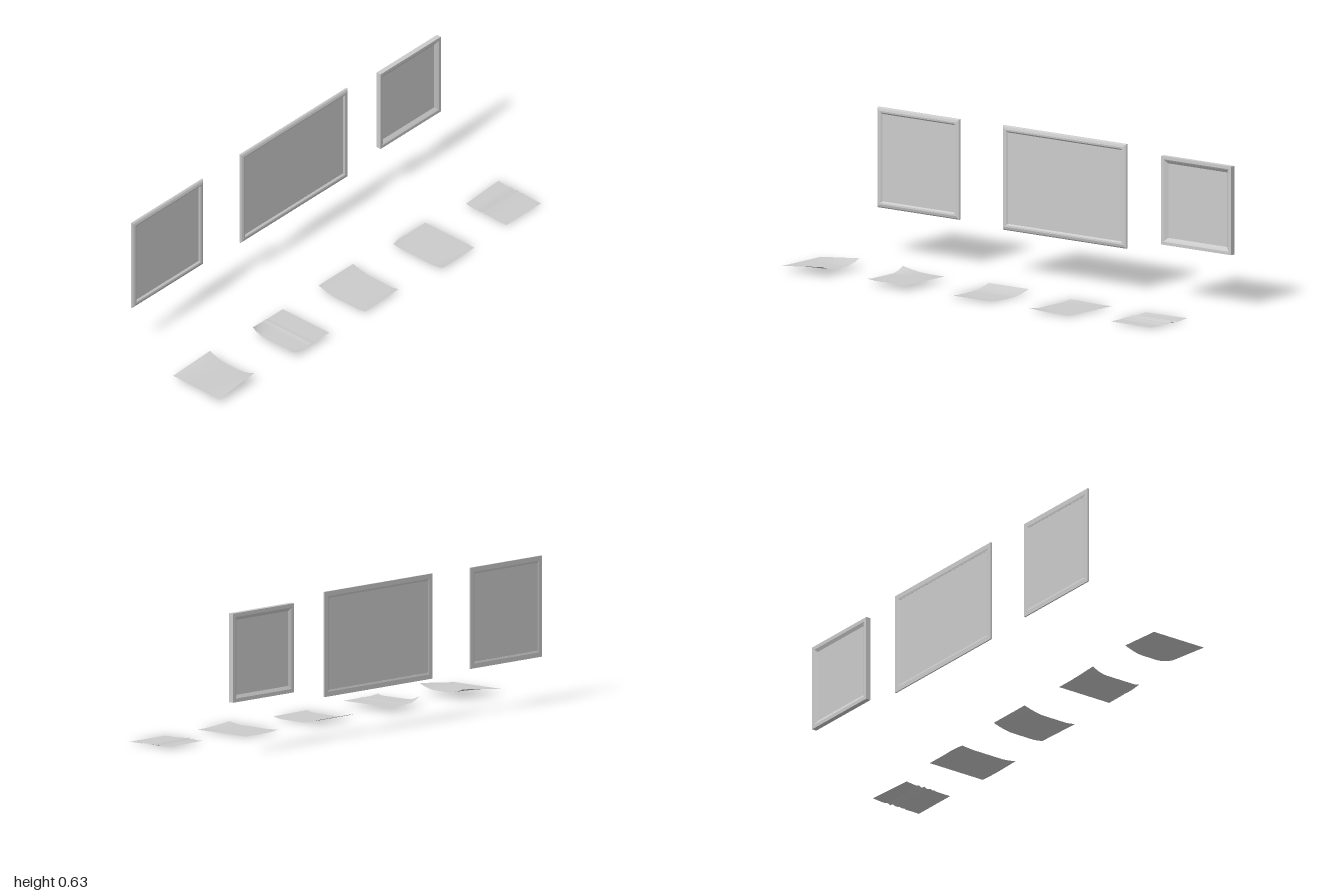
import * as THREE from 'three';

const frameMat = new THREE.MeshStandardMaterial({ color: 0xcccccc, flatShading: true });
const paperMat = new THREE.MeshStandardMaterial({ color: 0xcccccc, side: THREE.DoubleSide });

// Mitred moulding: a closed profile of [inset, x] swept round a rectangle in the zy plane
function moulding(profile, z0, z1, y0, y1) {
  const rings = profile.map(([i, x]) => [
    [x, y0 + i, z0 + i], [x, y1 - i, z0 + i], [x, y1 - i, z1 - i], [x, y0 + i, z1 - i],
  ]);
  const pos = [];
  for (let p = 0; p < rings.length; p++) {
    const a = rings[p], b = rings[(p + 1) % rings.length];
    for (let k = 0; k < 4; k++) {
      const n = (k + 1) % 4;
      pos.push(...a[k], ...a[n], ...b[n], ...a[k], ...b[n], ...b[k]);
    }
  }
  const geo = new THREE.BufferGeometry();
  geo.setAttribute('position', new THREE.Float32BufferAttribute(pos, 3));
  geo.computeVertexNormals();
  return geo;
}

function pictureFrame(name, profile, inset, panelX, z0, z1, y0, y1) {
  const group = new THREE.Group();
  group.name = name;
  const border = new THREE.Mesh(moulding(profile, z0, z1, y0, y1), frameMat);
  border.name = 'frameBorder';
  const panel = new THREE.Mesh(
    new THREE.BoxGeometry(0.003, y1 - y0 - 2 * inset, z1 - z0 - 2 * inset), frameMat);
  panel.position.set(panelX, (y0 + y1) / 2, (z0 + z1) / 2);
  panel.name = 'picturePanel';
  group.add(border, panel);
  return group;
}

// Paper sheet: a grid over x and z, with height(x, z) and optional edge pull-in (u, v in 0..1)
function sheet(name, x0, x1, z0, z1, height, pull = () => 0) {
  const geo = new THREE.PlaneGeometry(1, 1, 48, 32);
  const p = geo.attributes.position;
  for (let i = 0; i < p.count; i++) {
    const u = p.getX(i) + 0.5, v = 0.5 - p.getY(i);
    const x = x0 + (x1 - x0) * u, z = z0 + (z1 - z0) * v;
    p.setXYZ(i, x + pull(u, v), height(u, v, x), z);
  }
  geo.computeVertexNormals();
  const mesh = new THREE.Mesh(geo, paperMat);
  mesh.name = name;
  return mesh;
}

// Smooth curl: zero until t passes start, then rising to 1 at t = 1
const curl = (t, start) => Math.max(0, (t - start) / (1 - start)) ** 1.6;
const bump = (x, c, w) => Math.exp(-(((x - c) / w) ** 2));

export function createModel() {
  const model = new THREE.Group();

  // Thin frames with a rounded front, and a deeper box frame with a sloping inner lip
  const rounded = [[0, -0.295], [0, -0.289], [0.005, -0.285], [0.015, -0.282],
    [0.022, -0.283], [0.028, -0.289], [0.028, -0.293], [0.02, -0.295]];
  const deep = [[0, -0.3], [0, -0.278], [0.013, -0.278], [0.018, -0.281],
    [0.03, -0.29], [0.03, -0.293], [0.016, -0.3]];
  model.add(
    pictureFrame('frontFrame', rounded, 0.026, -0.291, 0.49, 0.934, 0.198, 0.626),
    pictureFrame('wideFrame', rounded, 0.026, -0.291, -0.411, 0.257, 0.185, 0.63),
    pictureFrame('deepFrame', deep, 0.028, -0.2915, -0.983, -0.605, 0.229, 0.606));

  // Creased sheet
  model.add(sheet('creasedSheet', 0.03, 0.27, -1, -0.782,
    (u, v, x) => 0.005 + 0.004 * bump(x, 0.105, 0.007) + 0.006 * bump(x, 0.135, 0.008)
      + 0.004 * bump(x, 0.168, 0.008) + 0.003 * bump(x, 0.19, 0.006)
      - 0.003 * bump(x, 0.12, 0.006) + 0.005 * curl(1 - u, 0.75),
    (u, v) => 0.014 * v * curl(1 - u, 0.5)));

  // Sheet with lifted front corners
  model.add(sheet('cornerSheet', 0.005, 0.285, -0.57, -0.357,
    (u, v) => 0.004 + 0.01 * curl(u, 0.75) * curl(v, 0.2) + 0.005 * curl(1 - u, 0.75) * curl(v, 0.4),
    (u, v) => 0.012 * (v - 0.3) * u + 0.012 * curl(v, 0.7) * curl(1 - u, 0.6)));

  // Sheet curled along its left edge
  model.add(sheet('curledSheet', 0.004, 0.268, -0.122, 0.094,
    (u) => 0.002 + 0.02 * curl(1 - u, 0.62) + 0.008 * curl(u, 0.8),
    (u, v) => -0.009 * (1 - v) * u));

  // Folded sheet with a lifted front left corner
  model.add(sheet('foldedSheet', 0.011, 0.272, 0.325, 0.535,
    (u, v) => 0.022 + 0.023 * curl(1 - u, 0.65) * curl(v, 0.5)
      + 0.006 * curl(u, 0.88) * curl(v, 0.7) + 0.002 * bump(v, 0.52, 0.04),
    (u, v) => 0.02 * curl(v, 0.55) * curl(1 - u, 0.65)));

  // Sheet whose two back corners rise
  model.add(sheet('raisedSheet', 0.002, 0.262, 0.783, 1,
    (u, v) => 0.022 + 0.022 * (1 - v) * (curl(1 - u, 0.62) + curl(u, 0.68)),
    (u, v) => 0.012 * (1 - v) * curl(1 - u, 0.5)));

  return model;
}
